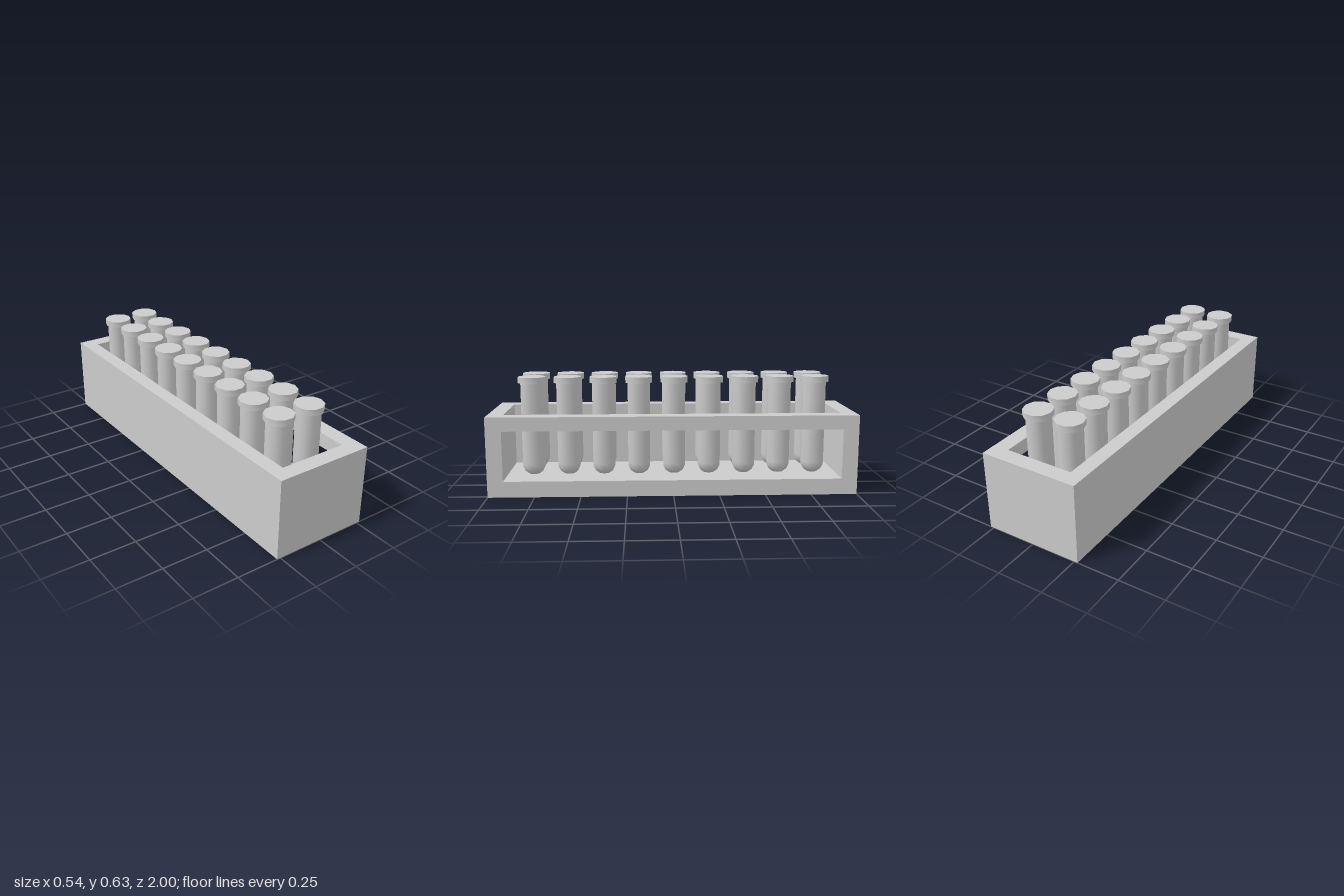
import * as THREE from 'three';
import { toCreasedNormals } from 'three/addons/utils/BufferGeometryUtils.js';

const HEIGHT = 0.436, FLOOR = 0.087, HALF_X = 0.269, INNER_Z = 0.915;
const INNER_LEFT = 0.183, INNER_RIGHT = -0.19;

export function createModel() {
  const model = new THREE.Group();
  model.name = 'testTubeRack';
  const material = new THREE.MeshStandardMaterial({ color: 0xcccccc });

  const addMesh = (parent, name, geometry) => {
    const mesh = new THREE.Mesh(geometry, material);
    mesh.name = name;
    parent.add(mesh);
    return mesh;
  };

  // Box given by its lower and upper corners
  const addBox = (parent, name, [x0, y0, z0], [x1, y1, z1]) =>
    addMesh(parent, name, new THREE.BoxGeometry(x1 - x0, y1 - y0, z1 - z0))
      .position.set((x0 + x1) / 2, (y0 + y1) / 2, (z0 + z1) / 2);

  // Rack: open-topped trough
  const rack = new THREE.Group();
  rack.name = 'rack';
  model.add(rack);
  addBox(rack, 'floor', [INNER_RIGHT, 0, -INNER_Z], [INNER_LEFT, FLOOR, INNER_Z]);
  addBox(rack, 'solidWall', [-HALF_X, 0, -1], [INNER_RIGHT, HEIGHT, 1]);
  addBox(rack, 'frontWall', [INNER_RIGHT, 0, INNER_Z], [INNER_LEFT, HEIGHT, 1]);
  addBox(rack, 'backWall', [INNER_RIGHT, 0, -1], [INNER_LEFT, HEIGHT, -INNER_Z]);

  // Left side wall with a long viewing window, drawn in z/y and turned to face +x
  const rectangle = (Type, w, y0, y1) => new Type([
    new THREE.Vector2(-w, y0), new THREE.Vector2(w, y0),
    new THREE.Vector2(w, y1), new THREE.Vector2(-w, y1),
  ]);
  const wall = rectangle(THREE.Shape, 1, 0, HEIGHT);
  wall.holes.push(rectangle(THREE.Path, INNER_Z, FLOOR, 0.36));
  const windowGeometry = new THREE.ExtrudeGeometry(wall, { depth: HALF_X - INNER_LEFT, bevelEnabled: false });
  windowGeometry.rotateY(Math.PI / 2).translate(INNER_LEFT, 0, 0);
  addMesh(rack, 'windowWall', windowGeometry);

  // Ten-sided stoppered tube: rounded foot, straight body, wider cap
  const profile = [
    [0, 0.088], [0.03, 0.091], [0.05, 0.106], [0.062, 0.13], [0.064, 0.15],
    [0.064, 0.598], [0.077, 0.598], [0.077, 0.631], [0, 0.631],
  ].map(([r, y]) => new THREE.Vector2(r, y));
  const tubeGeometry = toCreasedNormals(
    new THREE.LatheGeometry(profile, 10, Math.PI / 2), THREE.MathUtils.degToRad(42));

  // Two rows of nine tubes
  const tubes = new THREE.Group();
  tubes.name = 'tubes';
  model.add(tubes);
  for (const x of [-0.102, 0.086]) {
    for (let i = 0; i < 9; i++) {
      addMesh(tubes, 'tube', tubeGeometry).position.set(x, 0, -0.787 + i * 0.1945);
    }
  }
  return model;
}
